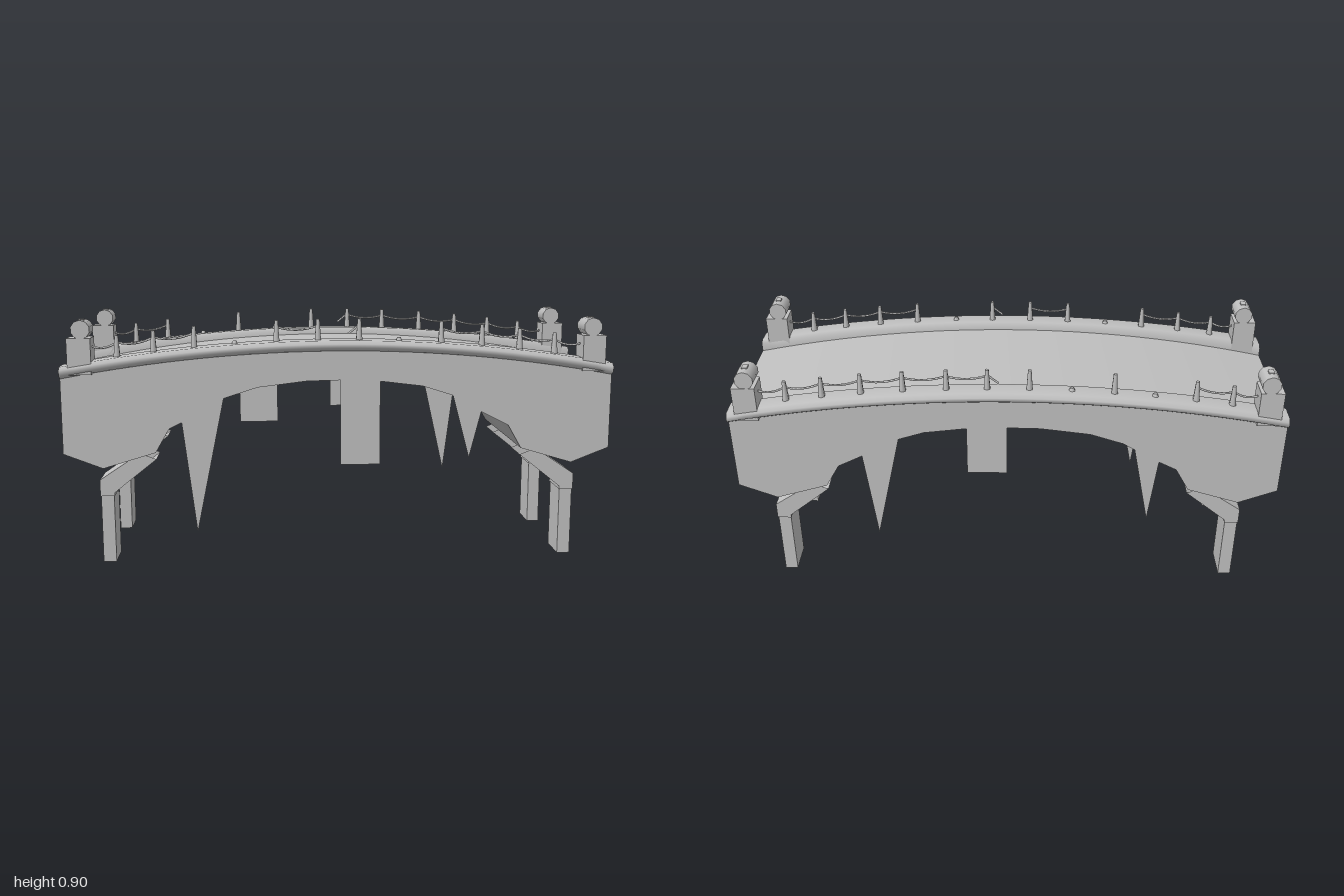
import * as THREE from 'three';

const stone = new THREE.MeshStandardMaterial({ color: 0xc0c0c0, side: THREE.DoubleSide });
stone.name = 'grey stone';

// Height of the top of the parapet along the arch
const copingTop = (x) => 0.818 - 0.088 * x * x;
const copingBottom = (x) => 0.778 - 0.093 * x * x;
const span = (n) => Array.from({ length: n + 1 }, (_, i) => -1 + (2 * i) / n);

function add(parent, name, geometry, x = 0, y = 0, z = 0) {
  const mesh = new THREE.Mesh(geometry, stone);
  mesh.name = name;
  mesh.position.set(x, y, z);
  parent.add(mesh);
  return mesh;
}

// Skin through rows of [x, y, z] cross-section points
function loft(rows, flat = false) {
  const w = rows[0].length, index = [];
  for (let i = 0; i < rows.length - 1; i++) {
    for (let j = 0; j < w - 1; j++) {
      const a = i * w + j, b = a + w;
      index.push(a, b, a + 1, b, b + 1, a + 1);
    }
  }
  let g = new THREE.BufferGeometry();
  g.setAttribute('position', new THREE.Float32BufferAttribute(rows.flat(2), 3));
  g.setIndex(index);
  if (flat) g = g.toNonIndexed();
  g.computeVertexNormals();
  return g;
}

function flatShape(points) {
  return new THREE.ShapeGeometry(new THREE.Shape(points.map(([x, y]) => new THREE.Vector2(x, y))));
}

// Lower edge of the arch, left half mirrored to the right
const half = [[-1, 0.412], [-0.86, 0.357], [-0.67, 0.413], [-0.62, 0.5], [-0.53, 0.545],
  [-0.42, 0.61], [-0.3, 0.648], [-0.12, 0.67]];
const arch = [...half, [0, 0.672], ...half.map(([x, y]) => [-x, y]).reverse()];

function addBody(group) {
  add(group, 'archUnderside', loft(arch.map(([x, y]) => [[x, y, 0.315], [x, y, -0.315]])));
  add(group, 'deck', loft(span(24).map((x) => {
    const y = 0.792 - 0.104 * x * x;
    return [[x, y, 0.25], [x, y, -0.25]];
  })));
  const wall = flatShape([...arch, ...span(24).reverse().map((x) => [x, copingBottom(x) + 0.01])]);
  for (const s of [1, -1]) add(group, 'sideWall', wall, 0, 0, s * 0.315);
}

// Rounded parapet stone running the full length
function addCoping(group, s) {
  const section = (x) => {
    const t = copingTop(x), b = copingBottom(x);
    return [[0.24, b], [0.315, b], [0.335, b + 0.012], [0.335, t - 0.014], [0.322, t - 0.002],
      [0.255, t], [0.24, t - 0.01], [0.24, b]].map(([z, y]) => [x, y, s * z]);
  };
  add(group, 'coping', loft(span(32).map(section)));
  for (const x of [-1, 1]) {
    const cap = flatShape(section(x).slice(0, -1).map((p) => [p[2], p[1]]));
    cap.rotateY(-Math.PI / 2);
    add(group, 'copingEnd', cap, x);
  }
}

function addPillar(group, sx, sz) {
  const pillar = new THREE.Group();
  pillar.name = 'endPillar';
  pillar.position.set(sx * 0.928, 0, sz * 0.285);
  add(pillar, 'pillarShaft', new THREE.BoxGeometry(0.084, 0.13, 0.09), 0, 0.765, 0);
  const scroll = new THREE.CylinderGeometry(0.034, 0.034, 0.088, 10);
  scroll.rotateX(Math.PI / 2);
  add(pillar, 'pillarHead', scroll, -sx * 0.008, 0.86, 0);
  add(pillar, 'headKnob', new THREE.BoxGeometry(0.02, 0.008, 0.025), -sx * 0.008, 0.892, 0);
  group.add(pillar);
}

// Small posts with broken stubs, and ropes between the whole ones
const postX = [-0.8, -0.67, -0.525, -0.38, -0.23, -0.08, 0.07, 0.215, 0.37, 0.52, 0.66, 0.79];
function addRailing(group, s, broken) {
  const z = s * 0.285;
  postX.forEach((x, i) => {
    const h = broken.includes(i) ? 0.014 : 0.078;
    add(group, 'railPost', new THREE.CylinderGeometry(0.007, 0.013, h, 6), x, copingTop(x) + h / 2 - 0.004, z);
  });
  const stops = [-0.89, ...postX, 0.89];
  for (let i = 0; i < stops.length - 1; i++) {
    const a = stops[i], b = stops[i + 1];
    if (i === 6 || broken.includes(i) || broken.includes(i - 1)) continue;
    const ya = copingTop(a) + 0.05, yb = copingTop(b) + 0.05;
    const curve = new THREE.QuadraticBezierCurve3(new THREE.Vector3(a, ya, z),
      new THREE.Vector3((a + b) / 2, (ya + yb) / 2 - 0.025, z), new THREE.Vector3(b, yb, z));
    add(group, 'rope', new THREE.TubeGeometry(curve, 8, 0.004, 5));
  }
  // Loose end of the snapped rope
  const loose = new THREE.LineCurve3(new THREE.Vector3(0.03, 0.838, z), new THREE.Vector3(0.07, 0.87, z));
  add(group, 'looseRope', new THREE.TubeGeometry(loose, 1, 0.004, 5));
}

// Channel leg, open outward, with a slanted strut into the arch
function addLeg(group, sx, sz) {
  const ring = ([ix, iy], [ox, oy], z0, z1, closed) => {
    const r = [[ox, oy, z0], [ix, iy, z0], [ix, iy, z1], [ox, oy, z1]];
    if (closed) r.push(r[0]);
    return r.map(([x, y, z]) => [sx * x, y, sz * z]);
  };
  add(group, 'leg', loft([
    ring([0.828, 0], [0.875, 0], 0.165, 0.29),
    ring([0.828, 0.26], [0.875, 0.3], 0.165, 0.29),
  ], true));
  add(group, 'legStrut', loft([
    ring([0.825, 0.25], [0.877, 0.25], 0.162, 0.296, true),
    ring([0.825, 0.262], [0.877, 0.31], 0.162, 0.296, true),
    ring([0.67, 0.385], [0.73, 0.408], 0.162, 0.296, true),
  ], true));
}

// Thin shards and slabs hanging below the arch: outline, then z
const hanging = [
  ['shard', [[-0.575, 0.53], [-0.525, 0.115], [-0.42, 0.62]], 0.317],
  ['shard', [[-0.555, 0.54], [-0.525, 0.28], [-0.46, 0.6]], -0.317],
  ['shard', [[0.41, 0.62], [0.475, 0.38], [0.52, 0.56]], 0.317],
  ['shard', [[0.39, 0.63], [0.487, 0.2], [0.53, 0.55]], -0.317],
  ['slab', [[0, 0.36], [0.145, 0.36], [0.145, 0.675], [0, 0.675]], 0.317],
  ['slab', [[0, 0.48], [0.145, 0.48], [0.145, 0.675], [0, 0.675]], -0.317],
  ['slab', [[-0.37, 0.48], [-0.225, 0.48], [-0.225, 0.66], [-0.37, 0.64]], 0.06],
];

export function createModel() {
  const group = new THREE.Group();
  group.name = 'archedBridge';
  addBody(group);
  for (const s of [1, -1]) {
    addCoping(group, s);
    addRailing(group, s, s > 0 ? [3, 7] : [2, 4]);
    for (const sx of [1, -1]) {
      addPillar(group, sx, s);
      addLeg(group, sx, s);
    }
  }
  for (const [name, outline, z] of hanging) add(group, name, flatShape(outline), 0, 0, z);
  return group;
}
